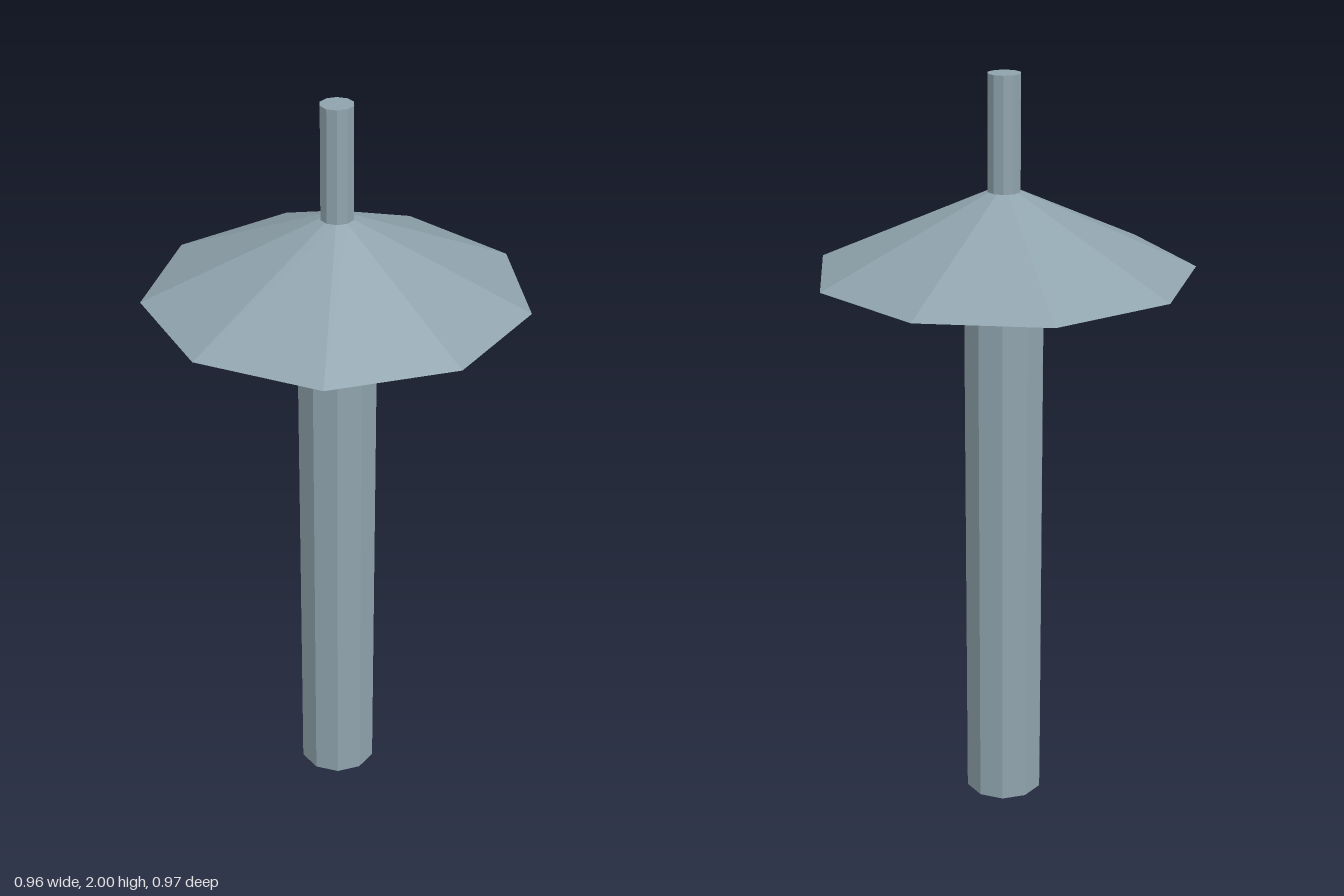
import * as THREE from 'three';

export function createModel() {
  const group = new THREE.Group();
  const metal = new THREE.MeshStandardMaterial({ color: 0x90a4ae, flatShading: true });
  metal.name = 'blueGreyMetal';

  // Faceted round part standing between two heights, with one corner on +x
  function addPart(name, rTop, rBottom, yBottom, yTop, sides) {
    const geometry = new THREE.CylinderGeometry(
      rTop, rBottom, yTop - yBottom, sides, 1, false, Math.PI / 2);
    const mesh = new THREE.Mesh(geometry, metal);
    mesh.name = name;
    mesh.position.set(-0.015, (yBottom + yTop) / 2, 0);
    group.add(mesh);
  }

  addPart('lowerPipe', 0.106, 0.106, 0, 1.5, 10);
  addPart('conicalSkirt', 0.043, 0.493, 1.5, 1.705, 9);
  addPart('upperPipe', 0.043, 0.043, 1.705, 2, 10);

  return group;
}
